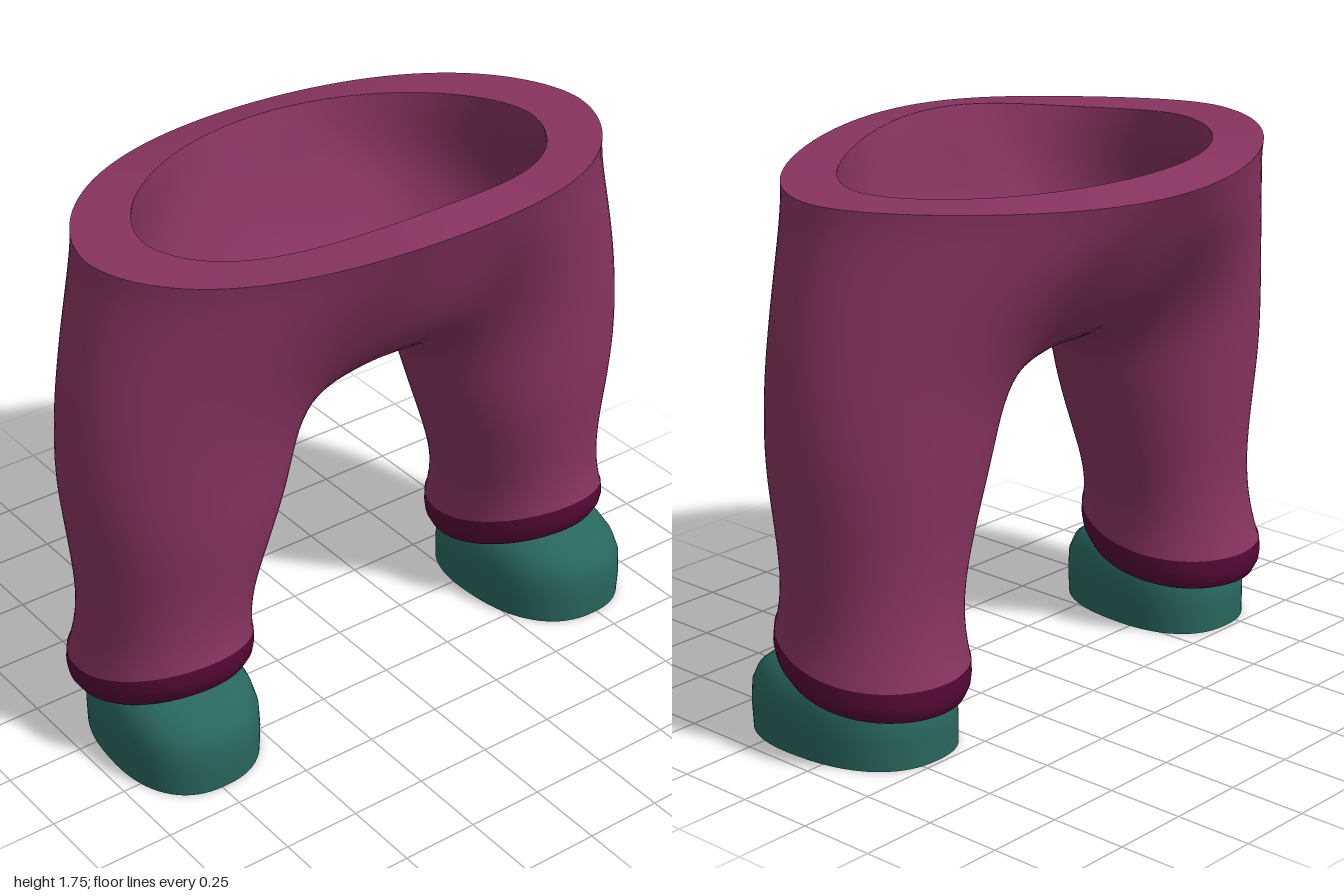
import * as THREE from 'three';
import { mergeGeometries, mergeVertices } from 'three/addons/utils/BufferGeometryUtils.js';

const N = 72;             // columns around each leg
const SPLIT = 125;        // leg angle at which columns meet the centre seam
const V = (x, y, z) => new THREE.Vector3(x, y, z);
const rad = THREE.MathUtils.degToRad;
const lerp = THREE.MathUtils.lerp;

// Skin closed rings of points; rings run upward for an outward surface
function loft(rings, flip = false) {
  const n = rings[0].length, pos = [], idx = [];
  rings.forEach(r => r.forEach(p => pos.push(p.x, p.y, p.z)));
  for (let j = 0; j < rings.length - 1; j++) {
    for (let i = 0; i < n; i++) {
      const p = j * n + i, q = j * n + (i + 1) % n, r = p + n, s = q + n;
      idx.push(...(flip ? [p, q, r, q, s, r] : [p, r, q, q, r, s]));
    }
  }
  const g = new THREE.BufferGeometry();
  g.setAttribute('position', new THREE.Float32BufferAttribute(pos, 3));
  g.setIndex(idx);
  return g;
}

function smooth(g) {
  const m = mergeVertices(g, 1e-4);
  m.computeVertexNormals();
  return m;
}

// Soften folds by moving points toward their neighbours; open edges stay put
function relax(g, rounds) {
  const pos = g.attributes.position, ix = g.index.array;
  const next = Array.from({ length: pos.count }, () => new Set());
  for (let t = 0; t < ix.length; t += 3) {
    for (let k = 0; k < 3; k++) next[ix[t + k]].add(ix[t + (k + 1) % 3]);
  }
  const open = new Set();
  next.forEach((s, a) => s.forEach(b => { if (!next[b].has(a)) open.add(a).add(b); }));
  let pts = next.map((_, i) => V(0, 0, 0).fromBufferAttribute(pos, i));
  for (let n = 0; n < rounds; n++) {
    pts = pts.map((p, i) => {
      if (open.has(i)) return p;
      const mean = V(0, 0, 0);
      next[i].forEach(b => mean.add(pts[b]));
      return p.clone().lerp(mean.divideScalar(next[i].size), 0.5);
    });
  }
  pts.forEach((p, i) => pos.setXYZ(i, p.x, p.y, p.z));
  g.computeVertexNormals();
  return g;
}

// Mirrored copy across x = 0, with the corner order reversed
function mirrored(g) {
  const m = g.clone().scale(-1, 1, 1), a = m.index.array;
  for (let i = 0; i < a.length; i += 3) [a[i], a[i + 1]] = [a[i + 1], a[i]];
  return m;
}

// Point on an oval section that sweeps up to the front: [y, slope, xIn, xOut, zBack, zFront]
function oval([y, slope, x0, x1, z0, z1], deg, scale = 1) {
  const a = rad(deg);
  const z = (z0 + z1) / 2 + (z1 - z0) / 2 * scale * Math.sin(a);
  return V((x0 + x1) / 2 + (x1 - x0) / 2 * scale * Math.cos(a), y + slope * (z + 1.5 * z * z), z);
}

const angles = Array.from({ length: N }, (_, i) => -180 + i * 360 / N);

const legSections = [
  [0.295, 0.20, 0.423, 0.982, -0.287, 0.322],
  [0.44, 0.12, 0.424, 0.958, -0.250, 0.310],
  [0.60, 0.05, 0.373, 0.968, -0.247, 0.317],
  [0.80, 0.00, 0.302, 0.994, -0.272, 0.346],
  [0.95, 0.00, 0.252, 1.012, -0.288, 0.355],
];

// Shells: waist oval, its front and back rise, and the centre seam as (y, z)
const outerShell = {
  inset: 0, rx: 0.89, rz: 0.585, front: 0.05, back: -0.03,
  seam: [[1.74, 0.585], [1.56, 0.53], [1.38, 0.462], [1.21, 0.31], [1.06, 0], [1.17, -0.26], [1.34, -0.40], [1.50, -0.49], [1.66, -0.585]],
};
const innerShell = {
  inset: 0.02, rx: 0.70, rz: 0.445, front: 0.065, back: 0.005,
  seam: [[1.755, 0.445], [1.40, 0.38], [1.23, 0.26], [1.095, 0], [1.21, -0.23], [1.36, -0.33], [1.695, -0.445]],
};

function waistPoint(s, deg) {
  const c = Math.cos(rad(deg)), k = Math.sin(rad(deg));
  return V(s.rx * c, 1.69 + (k > 0 ? s.front : s.back) * k ** 4,
    s.rz * Math.sign(k) * Math.abs(k) ** 1.1 + 0.025 * (1 - k * k));
}

// Half of the trousers: each column climbs the leg to the waist or the seam
function halfTrousers(s, flip) {
  const seam = new THREE.CatmullRomCurve3(s.seam.map(([y, z]) => V(0, y, z)));
  const columns = angles.map(a => {
    const leg = new THREE.CatmullRomCurve3(legSections.map(([y, m, x0, x1, z0, z1]) =>
      oval([y, m, x0 + s.inset, x1 - s.inset, z0 + s.inset, z1 - s.inset], a)));
    let end, pull;
    if (Math.abs(a) <= SPLIT) {
      const w = a / SPLIT, k = Math.abs(w);
      end = waistPoint(s, 90 * w);
      pull = V(lerp(0.03, 0.24, k * k), -0.2, -0.08 * Math.sin(rad(90 * w)));
    } else {
      const t = ((a > 0 ? a : a + 360) - SPLIT) / (360 - 2 * SPLIT);
      const k = Math.abs(2 * t - 1);
      end = seam.getPointAt(t);
      end.x = 0;
      pull = V(lerp(0.15, 0.24, k), -0.2 * k ** 4, -0.08 * k ** 4 * Math.sign(0.5 - t));
    }
    const p = leg.getPoint(1);
    const hip = new THREE.CubicBezierCurve3(
      p, p.clone().add(V(0, 0.45 * (end.y - p.y), 0)), end.clone().add(pull), end);
    return [...leg.getPoints(16), ...hip.getPoints(18).slice(1)];
  });
  return loft(columns[0].map((_, j) => columns.map(c => c[j])), flip);
}

function trousers(s, flip) {
  const half = halfTrousers(s, flip);
  return relax(mergeVertices(mergeGeometries([half, mirrored(half)]), 1e-4), 14);
}

// Flat band joining the outer and inner waist edges
function waistRim() {
  const degs = Array.from({ length: 112 }, (_, i) => i * 360 / 112);
  return smooth(loft([outerShell, innerShell].map(s => degs.map(d => waistPoint(s, d)))));
}

// Stack of oval sections with a scale for each
const ovalStack = list => smooth(loft(list.map(([s, k]) => angles.map(a => oval(s, a, k)))));

// Rolled cuff with a closed floor, listed from the floor up
const cuff = () => ovalStack([
  [[0.285, 0.2, 0.46, 0.94, -0.26, 0.29], 0],
  [[0.275, 0.2, 0.46, 0.94, -0.26, 0.29], 0.9],
  [[0.19, 0.2, 0.465, 0.935, -0.255, 0.275], 1],
  [[0.20, 0.2, 0.445, 0.96, -0.275, 0.30], 1],
  [[0.23, 0.2, 0.428, 0.98, -0.289, 0.321], 1],
  [[0.26, 0.2, 0.423, 0.986, -0.292, 0.327], 1],
  [[0.30, 0.2, 0.422, 0.983, -0.288, 0.323], 1],
]);

// Thin top edge of the shoe, seen inside the cuff
const shoeCollar = () => ovalStack([
  [[0.29, 0.2, 0.505, 0.925, -0.25, 0.25], 1],
  [[0.293, 0.2, 0.505, 0.925, -0.25, 0.25], 0.945],
]);

// Shoe section: rounded box outline turned slightly outward
function shoeRing(y, w, zb, zf) {
  return angles.map(a => {
    const c = Math.cos(rad(a)), s = Math.sin(rad(a)), e = 0.85;
    const z = (zf + zb) / 2 + (zf - zb) / 2 * Math.sign(s) * Math.abs(s) ** e;
    return V(0.713 + w * Math.sign(c) * Math.abs(c) ** e + 0.07 * (z - 0.09), y, z);
  });
}
const shoeUpper = () => smooth(loft([
  shoeRing(0, 0.236, -0.235, 0.412),
  shoeRing(0.08, 0.238, -0.235, 0.416),
  shoeRing(0.15, 0.234, -0.233, 0.414),
  shoeRing(0.195, 0.222, -0.205, 0.392),
  shoeRing(0.232, 0.203, -0.15, 0.345),
  shoeRing(0.262, 0.17, -0.06, 0.28),
  shoeRing(0.276, 0.115, 0.04, 0.225),
  shoeRing(0.28, 0, 0.13, 0.13),
]));
const shoeSole = () => smooth(loft([
  shoeRing(0, 0, 0.09, 0.09),
  shoeRing(0, 0.236, -0.235, 0.412),
]));

export function createModel() {
  const group = new THREE.Group();
  const mat = (name, color, side = THREE.FrontSide) => {
    const m = new THREE.MeshStandardMaterial({ color, side });
    m.name = name;
    return m;
  };
  const plum = mat('plum cloth', 0x87335f);
  const wine = mat('dark wine cuff', 0x540834, THREE.DoubleSide);
  const teal = mat('teal shoe', 0x28665e);
  const add = (name, geometry, material) => {
    const mesh = new THREE.Mesh(geometry, material);
    mesh.name = name;
    group.add(mesh);
  };

  add('trousersOutside', trousers(outerShell, false), plum);
  add('trousersInside', trousers(innerShell, true), plum);
  add('waistRim', waistRim(), plum);

  // Matching parts for both feet
  const parts = [['Cuff', cuff(), wine], ['ShoeCollar', shoeCollar(), teal],
    ['ShoeUpper', shoeUpper(), teal], ['ShoeSole', shoeSole(), teal]];
  for (const [name, g, material] of parts) {
    add('left' + name, g, material);
    const m = mirrored(g);
    m.computeVertexNormals();
    add('right' + name, m, material);
  }
  return group;
}
